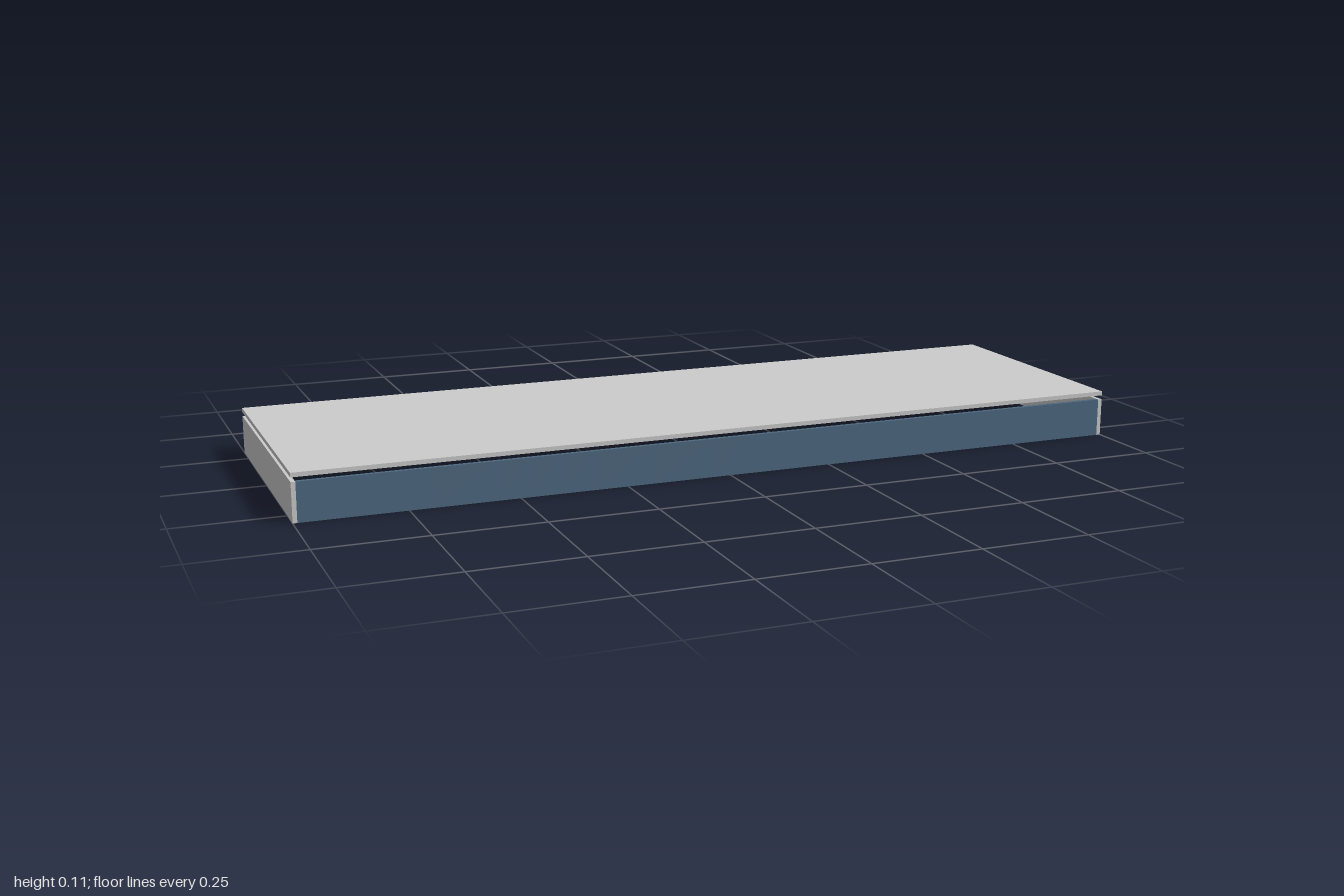
import * as THREE from 'three';

export function createModel() {
  const model = new THREE.Group();
  const grey = new THREE.MeshStandardMaterial({ color: 0xcccccc });
  const glass = new THREE.MeshStandardMaterial({ color: 0x4d6880 });

  const halfDepth = 0.31, wallHeight = 0.09, thickness = 0.01;

  function box(name, w, h, d, x, y, z, material, parent = model) {
    const mesh = new THREE.Mesh(new THREE.BoxGeometry(w, h, d), material);
    mesh.name = name;
    mesh.position.set(x, y, z);
    parent.add(mesh);
  }

  // Roof slab, floating a little above the walls
  box('roofSlab', 2, 0.01, halfDepth * 2, 0, 0.105, 0, grey);

  // Solid end walls
  for (const side of [-1, 1]) {
    box(side > 0 ? 'leftEndWall' : 'rightEndWall', thickness, wallHeight, halfDepth * 2,
      side * (1 - thickness / 2), wallHeight / 2, 0, grey);
  }

  // Glazed long walls: panels one or two modules wide, 27 modules per side
  const start = -1 + thickness;
  const module = (2 - 2 * thickness) / 27;
  function facade(name, widths, side) {
    const wall = new THREE.Group();
    wall.name = name;
    let x = start;
    for (const count of widths) {
      const w = count * module;
      box('glassPanel', w, wallHeight, thickness,
        x + w / 2, wallHeight / 2, side * (halfDepth - thickness / 2), glass, wall);
      x += w;
    }
    model.add(wall);
  }
  facade('frontFacade', [1, 1, 1, 1, 2, 1, 1, 1, 2, 2, 1, 2, 2, 2, 1, 2, 1, 1, 1, 1], 1);
  facade('backFacade', [1, 1, 1, 2, 1, 1, 1, 1, 2, 1, 1, 1, 1, 1, 1, 1, 1, 1, 1, 1, 1, 1, 1, 1, 1], -1);

  return model;
}
